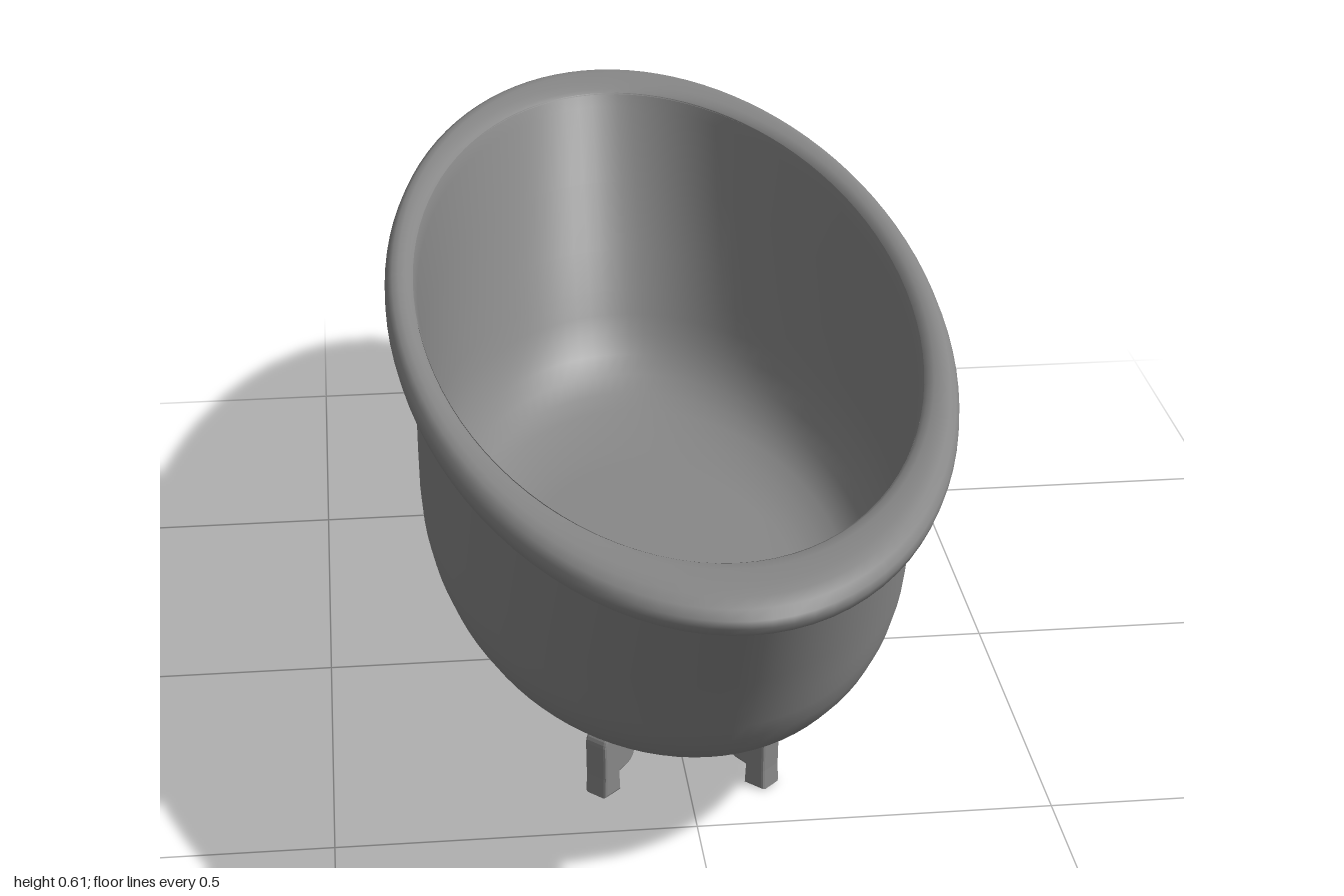
import * as THREE from 'three';

const enamel = new THREE.MeshStandardMaterial({ color: 0x888888, side: THREE.DoubleSide });
enamel.name = 'grey enamel';

// Skin over elliptical rings; each profile point is [half width, half length, height].
function ellipseLoft(name, profile, segments = 96) {
  const positions = [], index = [];
  profile.forEach(([rx, rz, y]) => {
    for (let j = 0; j < segments; j++) {
      const t = (j / segments) * Math.PI * 2;
      positions.push(rx * Math.cos(t), y, rz * Math.sin(t));
    }
  });
  for (let i = 0; i < profile.length - 1; i++) {
    for (let j = 0; j < segments; j++) {
      const k = (j + 1) % segments;
      const a = i * segments + j, b = a + segments;
      const c = i * segments + k, d = c + segments;
      index.push(a, b, c, c, b, d);
    }
  }
  const geometry = new THREE.BufferGeometry();
  geometry.setAttribute('position', new THREE.Float32BufferAttribute(positions, 3));
  geometry.setIndex(index);
  geometry.computeVertexNormals();
  const mesh = new THREE.Mesh(geometry, enamel);
  mesh.name = name;
  return mesh;
}

// S-shaped foot: a narrow top, a rounded knee and a small toe further out.
function clawFoot() {
  const bevel = 0.004, width = 0.037;
  const s = new THREE.Shape();
  s.moveTo(0.003, 0.004);
  s.lineTo(0.030, 0.004);
  s.lineTo(0.029, 0.03);
  s.lineTo(0.030, 0.08);
  s.quadraticCurveTo(0.029, 0.094, 0.014, 0.096);
  s.lineTo(-0.001, 0.098);
  s.lineTo(0.001, 0.137);
  s.lineTo(-0.030, 0.137);
  s.lineTo(-0.028, 0.1);
  s.lineTo(-0.030, 0.06);
  s.quadraticCurveTo(-0.029, 0.04, -0.010, 0.037);
  s.lineTo(0.005, 0.034);
  s.closePath();
  const geometry = new THREE.ExtrudeGeometry(s, {
    depth: width - 2 * bevel, bevelEnabled: true, bevelSize: bevel,
    bevelThickness: bevel, bevelSegments: 2, curveSegments: 6,
  });
  geometry.translate(0, 0, -width / 2 + bevel);
  return geometry;
}

export function createModel() {
  const tub = new THREE.Group();
  tub.name = 'bathtub';

  // Outer wall, from the edge of the flat base up to the rim
  const wall = [
    [0.235, 0.42, 0.134], [0.262, 0.48, 0.14], [0.287, 0.54, 0.151], [0.305, 0.58, 0.164],
    [0.320, 0.617, 0.183], [0.334, 0.645, 0.207], [0.345, 0.667, 0.235], [0.352, 0.684, 0.265],
    [0.355, 0.702, 0.30], [0.356, 0.738, 0.36], [0.356, 0.80, 0.46], [0.356, 0.868, 0.57],
  ];
  tub.add(ellipseLoft('outerShell', [
    [0, 0, 0.132], [0.12, 0.21, 0.132], [0.22, 0.39, 0.132], ...wall,
  ]));

  // Basin follows the outer wall slightly inside it
  const inside = wall.map(([x, z, y]) => [x - 0.008, z - 0.012, y + 0.012]).reverse();
  tub.add(ellipseLoft('basin', [
    [0.354, 0.868, 0.604], ...inside, [0.2, 0.36, 0.144], [0.1, 0.18, 0.144], [0, 0, 0.144],
  ]));

  // Rolled rim, wider at the two ends
  tub.add(ellipseLoft('rolledRim', [
    [0.350, 0.860, 0.566], [0.375, 0.955, 0.565], [0.385, 0.978, 0.567], [0.392, 0.992, 0.574],
    [0.395, 1.0, 0.586], [0.395, 0.999, 0.596], [0.391, 0.988, 0.606], [0.384, 0.968, 0.612],
    [0.375, 0.945, 0.614], [0.366, 0.90, 0.612], [0.359, 0.876, 0.608], [0.354, 0.866, 0.602],
  ]));

  // Four feet turned outward on the diagonals
  const footGeometry = clawFoot();
  for (const sx of [-1, 1]) {
    for (const sz of [-1, 1]) {
      const foot = new THREE.Mesh(footGeometry, enamel);
      foot.name = (sz > 0 ? 'front' : 'back') + (sx > 0 ? 'Left' : 'Right') + 'Foot';
      foot.position.set(sx * 0.101 - 0.008, 0, sz * 0.39 - 0.01);
      foot.rotation.y = Math.atan2(-sz, sx);
      tub.add(foot);
    }
  }
  return tub;
}
